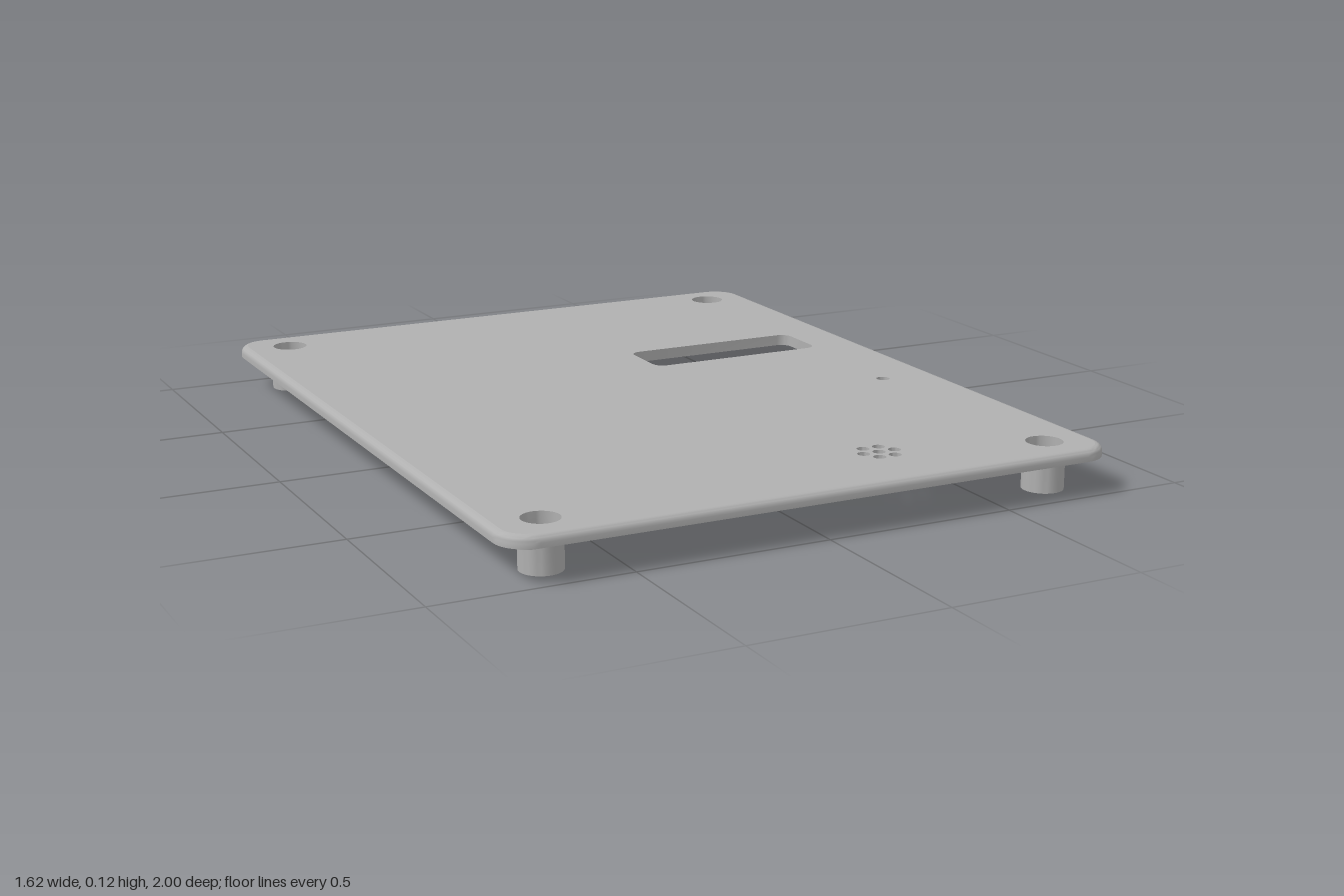
import * as THREE from 'three';
import { toCreasedNormals } from 'three/addons/utils/BufferGeometryUtils.js';

const HALF_W = 0.81, HALF_D = 1, CORNER = 0.08;
const TOP = 0.12, UNDER = 0.09, LIP = 0.075, FILLET = 0.018;

// Rounded rectangle outline in x/z; a circle when r equals both half sizes
function outline(cx, cz, hw, hd, r, seg = 8) {
  const pts = [];
  [[1, 1], [-1, 1], [-1, -1], [1, -1]].forEach(([sx, sz], q) => {
    for (let i = 0; i <= seg; i++) {
      const a = (q + i / seg) * Math.PI / 2;
      pts.push(new THREE.Vector2(
        cx + sx * (hw - r) + r * Math.cos(a),
        cz + sz * (hd - r) + r * Math.sin(a)));
    }
  });
  return pts;
}
const circle = (x, z, r) => outline(x, z, r, r, r, 6);
const inset = (d) => outline(0, 0, HALF_W - d, HALF_D - d, CORNER - d);

// Skin over rings of equal point count: rising rings face out, falling ones face in
function loft(rings) {
  const n = rings[0].pts.length, pos = [], idx = [];
  for (const { pts, y } of rings) for (const p of pts) pos.push(p.x, y, p.y);
  for (let k = 0; k < rings.length - 1; k++) {
    for (let i = 0; i < n; i++) {
      const a = k * n + i, b = k * n + (i + 1) % n;
      idx.push(a, a + n, b, b, a + n, b + n);
    }
  }
  const g = new THREE.BufferGeometry();
  g.setAttribute('position', new THREE.Float32BufferAttribute(pos, 3));
  g.setIndex(idx);
  return toCreasedNormals(g, 0.6);
}

// Flat face with holes, looking up or down
function flatFace(edge, holes, y, up) {
  const map = (pts) => pts.map((p) => new THREE.Vector2(p.x, up ? -p.y : p.y));
  const shape = new THREE.Shape(map(edge));
  shape.holes = holes.map((h) => new THREE.Path(map(h)));
  const g = new THREE.ShapeGeometry(shape);
  g.rotateX(up ? -Math.PI / 2 : Math.PI / 2);
  g.translate(0, y, 0);
  return g;
}

export function createModel() {
  const model = new THREE.Group();
  model.name = 'enclosureLid';
  const grey = new THREE.MeshStandardMaterial({ color: 0xb0b0b0 });
  grey.name = 'grey plastic';
  const add = (name, geometry) => {
    const mesh = new THREE.Mesh(geometry, grey);
    mesh.name = name;
    model.add(mesh);
    return mesh;
  };

  // Cut-outs: display window, indicator hole and speaker grille
  const cutouts = [
    ['windowWall', outline(0.415, -0.287, 0.255, 0.087, 0.03)],
    ['indicatorHoleWall', circle(0.65, 0.19, 0.018)],
    ['grilleHoleWall', circle(0.265, 0.783, 0.016)],
  ];
  for (let i = 0; i < 6; i++) {
    const a = i * Math.PI / 3;
    cutouts.push(['grilleHoleWall',
      circle(0.265 + 0.044 * Math.cos(a), 0.783 + 0.044 * Math.sin(a), 0.016)]);
  }
  for (const [name, pts] of cutouts) add(name, loft([{ pts, y: TOP }, { pts, y: UNDER }]));
  const cutPaths = cutouts.map((c) => c[1]);

  // Rim: locating lip underneath, step, outer wall and rounded top edge
  const rings = [[0.06, UNDER], [0.06, LIP], [0.04, LIP], [0.04, UNDER], [0, UNDER]];
  for (let i = 0; i <= 5; i++) {
    const a = i / 5 * Math.PI / 2;
    rings.push([FILLET * (1 - Math.cos(a)), TOP - FILLET + FILLET * Math.sin(a)]);
  }
  add('rim', loft(rings.map(([d, y]) => ({ pts: inset(d), y }))));

  // Screw posts with a counterbore open to the top
  const posts = [];
  for (const x of [-0.68, 0.68]) for (const z of [-0.885, 0.885]) posts.push([x, z]);
  const profile = [[0.047, TOP], [0.047, 0.085], [0.026, 0.085], [0.026, 0],
    [0.053, 0], [0.053, UNDER]].map(([r, y]) => new THREE.Vector2(r, y));
  const postGeometry = toCreasedNormals(new THREE.LatheGeometry(profile, 32), 0.6);
  for (const [x, z] of posts) add('screwPost', postGeometry).position.set(x, 0, z);

  // Upper and lower faces of the panel
  const postHoles = (r) => posts.map(([x, z]) => outline(x, z, r, r, r, 8));
  add('panelTop', flatFace(inset(FILLET), [...cutPaths, ...postHoles(0.047)], TOP, true));
  add('panelUnderside', flatFace(inset(0.06), [...cutPaths, ...postHoles(0.052)], UNDER, false));

  return model;
}
